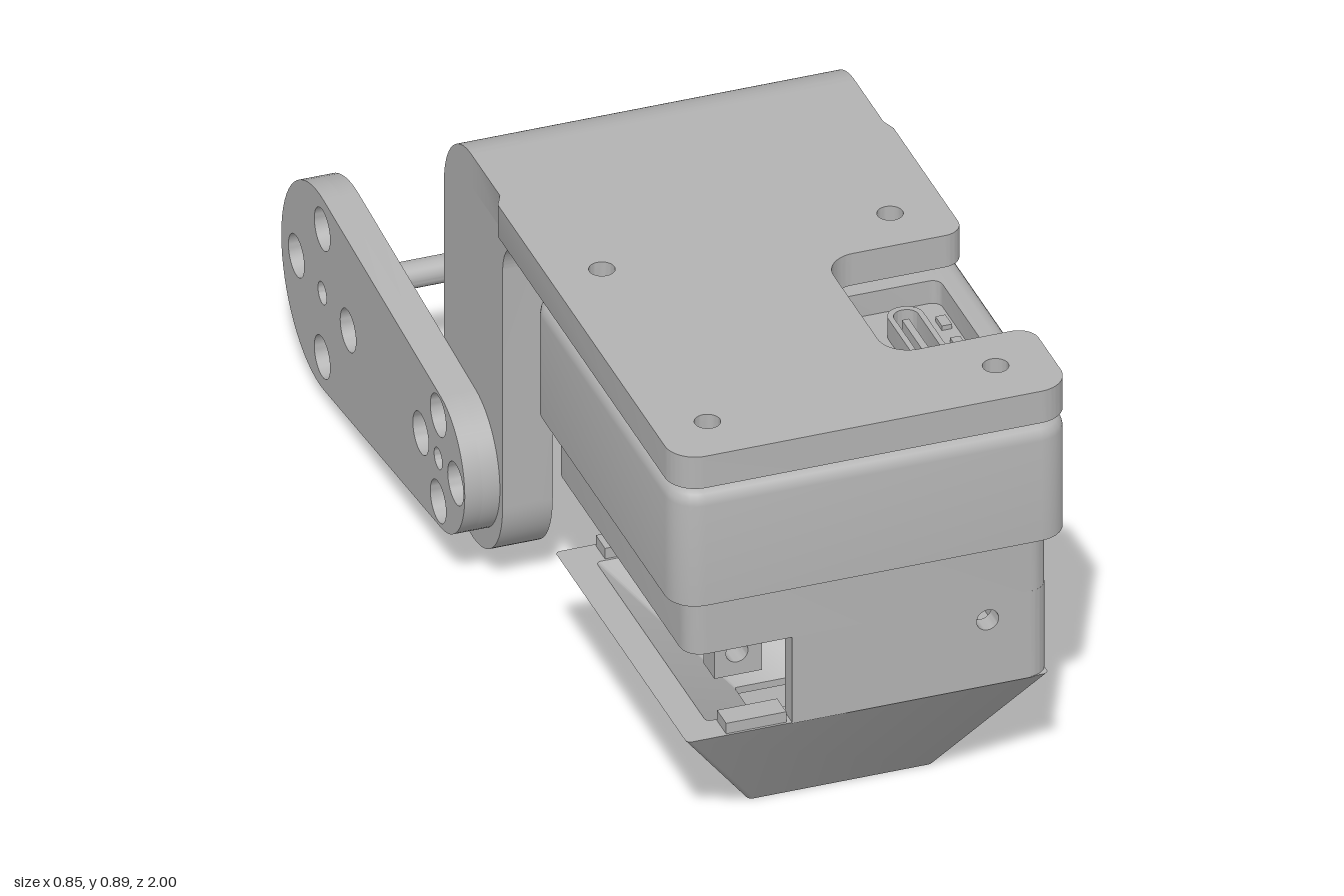
import * as THREE from 'three';
import { toCreasedNormals } from 'three/addons/utils/BufferGeometryUtils.js';

const grey = new THREE.MeshStandardMaterial({ color: 0xb3b3b3 });
grey.name = 'plain grey';

function add(parent, name, geo) {
  const m = new THREE.Mesh(toCreasedNormals(geo, 0.5), grey);
  m.name = name;
  parent.add(m);
  return m;
}

// Polygon whose corners [x, y, radius] are rounded
function roundedPoly(pts) {
  const s = new THREE.Shape(), n = pts.length;
  pts.forEach(([x, y, r = 0], i) => {
    const toward = ([px, py]) => {
      const d = Math.hypot(px - x, py - y);
      return [x + (px - x) / d * r, y + (py - y) / d * r];
    };
    const a = toward(pts[(i + n - 1) % n]), b = toward(pts[(i + 1) % n]);
    if (i === 0) s.moveTo(...a); else s.lineTo(...a);
    if (r) {
      // cubic close to a circular arc
      const k = 0.55, mix = (p) => [p[0] + (x - p[0]) * k, p[1] + (y - p[1]) * k];
      s.bezierCurveTo(...mix(a), ...mix(b), ...b);
    }
  });
  s.closePath();
  return s;
}

function drill(shape, holes) {
  for (const [x, y, r] of holes) shape.holes.push(new THREE.Path().absarc(x, y, r, 0, Math.PI * 2, true));
  return shape;
}

const extrude = (shape, depth) =>
  new THREE.ExtrudeGeometry(shape, { depth, bevelEnabled: false, curveSegments: 16 });
// Shape drawn in (-z, y), spanning x0..x1
const alongX = (shape, x0, x1) => extrude(shape, x1 - x0).rotateY(Math.PI / 2).translate(x0, 0, 0);
// Shape drawn in (x, -z), spanning y0..y1
const alongY = (shape, y0, y1) => extrude(shape, y1 - y0).rotateX(-Math.PI / 2).translate(0, y0, 0);
// Shape drawn in (x, y), spanning z0..z1
const alongZ = (shape, z0, z1) => extrude(shape, z1 - z0).translate(0, 0, z0);

// Skin over a chain of rounded rectangles [y, x0, x1, z0, z1, radius]
function loft(rings) {
  const seg = 6, pos = [];
  const loops = rings.map(([y, x0, x1, z0, z1, r]) => {
    const loop = [];
    for (let c = 0; c < 4; c++) {
      const cx = c === 0 || c === 3 ? x1 - r : x0 + r, cz = c < 2 ? z1 - r : z0 + r;
      for (let k = 0; k <= seg; k++) {
        const a = (c + k / seg) * Math.PI / 2;
        loop.push([cx + r * Math.cos(a), y, cz + r * Math.sin(a)]);
      }
    }
    return loop;
  });
  for (let i = 0; i + 1 < loops.length; i++) {
    const a = loops[i], b = loops[i + 1];
    for (let j = 0; j < a.length; j++) {
      const k = (j + 1) % a.length;
      pos.push(...a[j], ...b[j], ...b[k], ...a[j], ...b[k], ...a[k]);
    }
  }
  const g = new THREE.BufferGeometry();
  g.setAttribute('position', new THREE.Float32BufferAttribute(pos, 3));
  g.computeVertexNormals();
  return g;
}

const box = (x0, x1, y0, y1, z0, z1) =>
  new THREE.BoxGeometry(x1 - x0, y1 - y0, z1 - z0).translate((x0 + x1) / 2, (y0 + y1) / 2, (z0 + z1) / 2);

// Four holes on a circle round a pivot
const cross = (u, v, d, r) => [[u + d, v, r], [u - d, v, r], [u, v + d, r], [u, v - d, r]];

function legShape() {
  const s = new THREE.Shape();
  s.moveTo(0.155, 0.895);
  s.lineTo(0.155, 0.825);
  s.lineTo(-0.105, 0.825);
  s.absarc(-0.105, 0.735, 0.09, Math.PI / 2, 0, true);
  s.lineTo(-0.015, 0.215);
  s.absarc(0.145, 0.215, 0.16, Math.PI, Math.PI * 2, false);
  s.lineTo(0.305, 0.745);
  s.absarc(0.155, 0.745, 0.15, 0, Math.PI / 2, false);
  return s;
}

function armShape(holeRadius) {
  const s = new THREE.Shape(), t = Math.PI / 2 + Math.asin(0.065 / 0.645);
  s.absarc(0.145, 0.245, 0.145, t, Math.PI * 2 - t, false);
  s.absarc(0.79, 0.24, 0.21, -t, t, false);
  s.closePath();
  return drill(s, [
    ...cross(0.145, 0.245, 0.095, holeRadius), [0.145, 0.245, 0.022],
    ...cross(0.777, 0.24, 0.141, holeRadius), [0.777, 0.24, 0.023],
  ]);
}

export function createModel() {
  const model = new THREE.Group();
  model.name = 'cameraBracket';

  // Mounting plate with side notch and screw holes
  const plate = roundedPoly([
    [-0.37, -1, 0.06], [0.42, -1, 0.06], [0.42, -0.78, 0.04], [0.135, -0.78, 0.06],
    [0.135, -0.42, 0.06], [0.42, -0.42, 0.04], [0.42, -0.03], [0.41, 0],
    [0.41, 0.155], [-0.355, 0.155], [-0.355, 0], [-0.37, -0.03],
  ]);
  drill(plate, [-0.265, 0.31].flatMap((x) => [-0.31, -0.885].map((v) => [x, v, 0.025])));
  add(model, 'mountingPlate', alongY(plate, 0.825, 0.895));

  // Rounded rear edge between the legs
  const edge = new THREE.Shape();
  edge.moveTo(0.155, 0.825);
  edge.absarc(0.155, 0.745, 0.15, Math.asin(0.08 / 0.15), Math.PI / 2, false);
  add(model, 'plateRearEdge', alongX(edge, -0.255, 0.31));

  // Legs; the left one has a pocket for its arm
  const legHoles = [...cross(0.145, 0.245, 0.095, 0.026), [0.145, 0.245, 0.022]];
  add(model, 'rightLeg', alongX(drill(legShape(), legHoles), -0.355, -0.255));
  add(model, 'leftLegInner', alongX(drill(legShape(), legHoles), 0.31, 0.35));
  add(model, 'leftLegOuter', alongX(drill(legShape(), [[0.145, 0.245, 0.1445]]), 0.35, 0.41));

  // Arms with counterbored holes on the outer side
  add(model, 'rightArmOuter', alongX(armShape(0.043), -0.425, -0.39));
  add(model, 'rightArmInner', alongX(armShape(0.027), -0.39, -0.355));
  add(model, 'leftArmInner', alongX(armShape(0.027), 0.35, 0.385));
  add(model, 'leftArmOuter', alongX(armShape(0.043), 0.385, 0.418));

  // Pivot screw on the right arm
  const screw = new THREE.LatheGeometry([
    [0, 0], [0.04, 0], [0.06, 0.012], [0.06, 0.018], [0.045, 0.03], [0.027, 0.034], [0.027, 0.22], [0, 0.22],
  ].map(([r, y]) => new THREE.Vector2(r, y)), 24);
  add(model, 'pivotScrew', screw.rotateZ(-Math.PI / 2).translate(-0.357, 0.24, -0.782));

  // Upper housing with a rounded top edge and a connector pocket
  const x0 = -0.37, x1 = 0.42, z0 = 0.21, z1 = 1, rings = [[0.565, 0.025, 0.025, 0.605, 0.605, 0]];
  rings.push([0.565, x0, x1, z0, z1, 0.06]);
  for (let i = 0; i <= 4; i++) {
    const a = i / 4 * Math.PI / 2, d = 0.03 * (1 - Math.cos(a));
    rings.push([0.785 + 0.03 * Math.sin(a), x0 + d, x1 - d, z0 + d, z1 - d, 0.06 - d]);
  }
  rings.push([0.815, 0.15, 0.36, 0.44, 0.75, 0.02], [0.765, 0.15, 0.36, 0.44, 0.75, 0.02],
    [0.765, 0.255, 0.255, 0.595, 0.595, 0]);
  add(model, 'upperHousing', loft(rings));
  add(model, 'topSpacer', box(-0.03, 0.08, 0.81, 0.827, 0.55, 0.67));

  // Connector port: oval shell, tongue and small board chips
  const oval = (w, l) => roundedPoly([[-w, -l, w * 0.95], [w, -l, w * 0.95], [w, l, w * 0.95], [-w, l, w * 0.95]]);
  const port = oval(0.035, 0.1);
  port.holes.push(oval(0.024, 0.088));
  add(model, 'portShell', alongY(port, 0.765, 0.81).translate(0.26, 0, 0.6));
  add(model, 'portTongue', box(0.253, 0.267, 0.765, 0.8, 0.53, 0.67));
  for (const x of [0.175, 0.34]) {
    for (const z of [0.52, 0.6, 0.68]) add(model, 'boardChip', box(x - 0.01, x + 0.01, 0.765, 0.775, z - 0.018, z + 0.018));
  }

  // Lower housing: solid band, curved side wall, drilled front and back walls
  const bx0 = -0.335, bx1 = 0.39, bz0 = 0.245, bz1 = 0.965;
  add(model, 'lowerHousingBand', loft([
    [0.435, 0.03, 0.03, 0.605, 0.605, 0], [0.435, bx0, bx1, bz0, bz1, 0.04],
    [0.57, bx0, bx1, bz0, bz1, 0.04], [0.57, 0.03, 0.03, 0.605, 0.605, 0],
  ]));
  const side = roundedPoly([
    [0.335, -bz1], [bx1, -bz1, 0.04], [bx1, -bz0, 0.04], [0.335, -bz0],
    [0.335, -0.285], [0.35, -0.285], [0.35, -0.925], [0.335, -0.925],
  ]);
  add(model, 'lowerHousingSide', alongY(side, 0.245, 0.435));
  const wall = () => drill(roundedPoly([[-0.125, 0.245], [0.335, 0.245], [0.335, 0.435], [-0.125, 0.435]]), [[0.265, 0.39, 0.022]]);
  const boss = () => drill(roundedPoly([[-0.26, 0.34], [-0.165, 0.34], [-0.165, 0.435], [-0.26, 0.435]]), [[-0.215, 0.39, 0.022]]);
  add(model, 'frontWall', alongZ(wall(), 0.925, bz1));
  add(model, 'backWall', alongZ(wall(), bz0, 0.285));
  add(model, 'frontBoss', alongZ(boss(), 0.85, 0.91));
  add(model, 'backBoss', alongZ(boss(), 0.3, 0.36));

  // Hollow tapered hood with a stepped window
  const foot = [0, -0.16, 0.21, 0.395, 0.82, 0.01];
  add(model, 'taperedHood', loft([
    foot, [0.247, bx0, 0.387, bz0, bz1, 0.01],
    [0.247, -0.275, 0.327, 0.305, 0.905, 0.01], [0.04, -0.07, 0.12, 0.5, 0.715, 0.005],
    [0.025, -0.07, 0.12, 0.5, 0.715, 0.005], [0.025, -0.11, 0.16, 0.45, 0.765, 0.005],
    [0, -0.11, 0.16, 0.45, 0.765, 0.005], foot,
  ]));
  for (const z of [0.275, 0.935]) add(model, 'hoodClip', box(-0.255, -0.135, 0.24, 0.27, z - 0.025, z + 0.025));

  return model;
}
